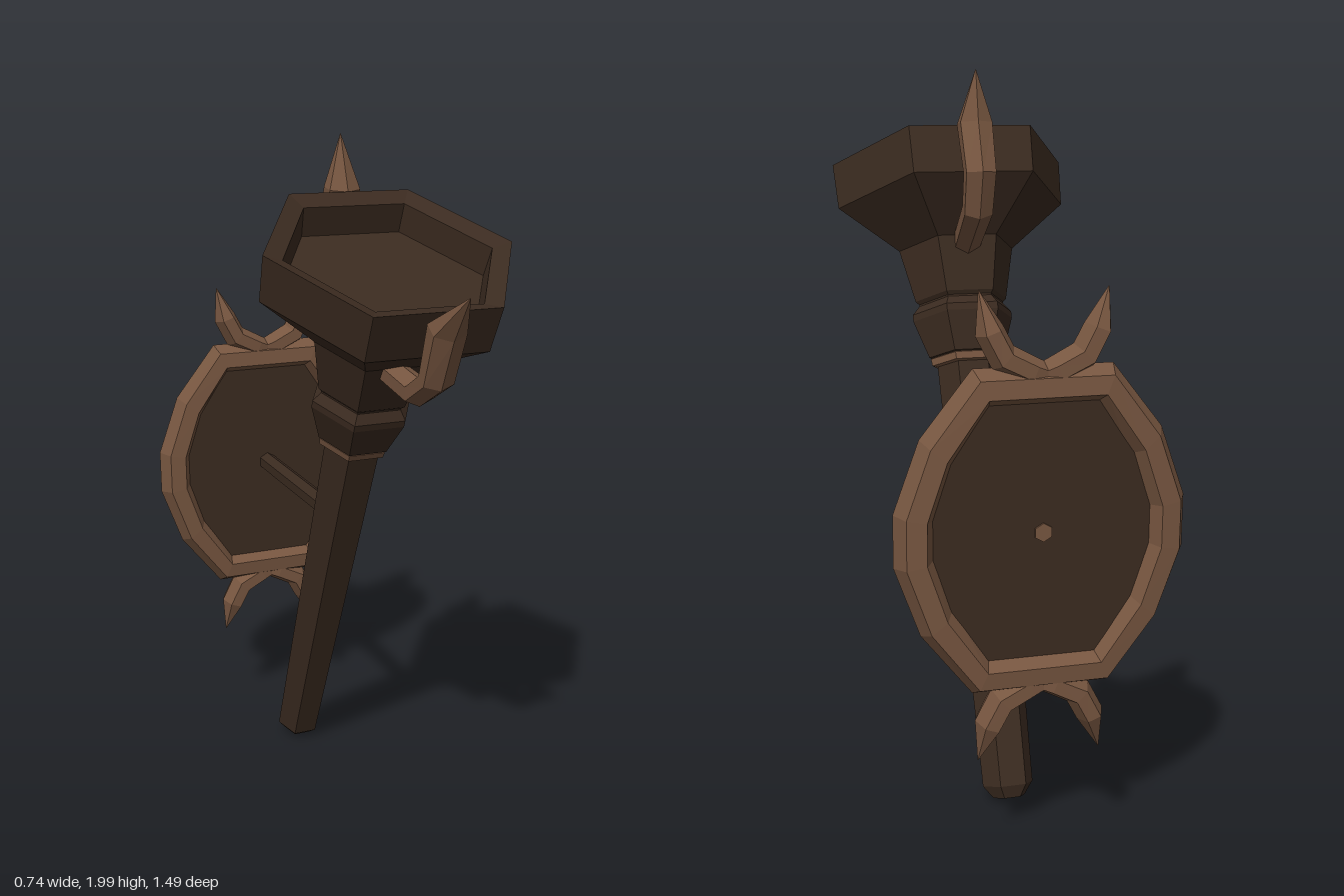
import * as THREE from 'three';

const darkWood = new THREE.MeshStandardMaterial({ color: 0x3b2b20 });
const bronze = new THREE.MeshStandardMaterial({ color: 0x775640 });

// Faceted mesh: every face keeps its own normal
function part(name, geometry, material) {
  const g = geometry.index ? geometry.toNonIndexed() : geometry;
  g.computeVertexNormals();
  const mesh = new THREE.Mesh(g, material);
  mesh.name = name;
  return mesh;
}

// Skin a list of equal-length cross-sections, counter-clockwise about the path
function loft(rings, closed = false) {
  const pos = [];
  const n = rings[0].length;
  const last = closed ? rings.length : rings.length - 1;
  for (let i = 0; i < last; i++) {
    const r0 = rings[i], r1 = rings[(i + 1) % rings.length];
    for (let j = 0; j < n; j++) {
      const k = (j + 1) % n;
      for (const p of [r0[j], r0[k], r1[k], r0[j], r1[k], r1[j]]) pos.push(...p);
    }
  }
  const g = new THREE.BufferGeometry();
  g.setAttribute('position', new THREE.Float32BufferAttribute(pos, 3));
  return g;
}

// Curved horn in the XY plane; points are [x, y, half width, half depth]
function horn(points) {
  const rings = points.map(([x, y, w, d], i) => {
    const a = points[Math.max(i - 1, 0)], b = points[Math.min(i + 1, points.length - 1)];
    const len = Math.hypot(b[0] - a[0], b[1] - a[1]);
    const nx = -(b[1] - a[1]) / len, ny = (b[0] - a[0]) / len;
    return Array.from({ length: 6 }, (_, j) => {
      const t = j * Math.PI / 3;
      const c = Math.cos(t) * w, s = Math.sin(t) / 0.866 * d;
      return [x + nx * c, y + ny * c, s];
    });
  });
  return loft(rings);
}

// Six-sided turned piece with corners on the x axis
function hexLathe(profile) {
  return new THREE.LatheGeometry(profile.map(([r, y]) => new THREE.Vector2(r, y)), 6, Math.PI / 2);
}

export function createModel() {
  const model = new THREE.Group();
  model.name = 'wallTorch';

  // Tilted torch, built along its own y axis
  const torch = new THREE.Group();
  torch.name = 'torch';
  torch.position.set(0, 0.02, -0.42);
  torch.rotation.x = 0.404;
  model.add(torch);

  torch.add(part('shaft', hexLathe([[0, 0], [0.045, 0], [0.072, 0.035], [0.09, 1.26]]), darkWood));
  torch.add(part('neckRing', hexLathe([[0.085, 1.235], [0.105, 1.24], [0.108, 1.26], [0.09, 1.27]]), bronze));
  torch.add(part('collar', hexLathe([
    [0.08, 1.255], [0.112, 1.265], [0.15, 1.375], [0.15, 1.395], [0.128, 1.42], [0.128, 1.43]]), darkWood));
  torch.add(part('bowl', hexLathe([
    [0.128, 1.425], [0.138, 1.435], [0.173, 1.59], [0.343, 1.726], [0.35, 1.86],
    [0.295, 1.843], [0.288, 1.76], [0, 1.76]]), darkWood));

  // Horns hugging the front and back of the bowl
  for (const side of [1, -1]) {
    const h = part(side > 0 ? 'frontHorn' : 'backHorn', horn([
      [0.11, 1.565, 0.035, 0.036], [0.292, 1.615, 0.036, 0.04], [0.358, 1.7, 0.036, 0.042],
      [0.353, 1.845, 0.044, 0.045], [0.42, 1.972, 0.001, 0.001]]), bronze);
    h.rotation.y = -side * Math.PI / 2;
    torch.add(h);
  }

  // Wall mount, centred on its own origin
  const mount = new THREE.Group();
  mount.name = 'wallMount';
  mount.position.set(0, 0.893, -0.695);
  model.add(mount);

  const corner = [[0.37, 0.067], [0.305, 0.247], [0.175, 0.412]];
  const flip = (sx, sy, list) => list.map(([x, y]) => [x * sx, y * sy]);
  const rev = [...corner].reverse();
  const outline = [...corner, ...flip(-1, 1, rev), ...flip(-1, -1, corner), ...flip(1, -1, rev)];
  const inset = ([x, y], d) => {
    const k = 1 - d / Math.hypot(x, y);
    return [x * k, y * k];
  };

  // Bevelled frame
  const section = [[0.105, 0], [0.075, 0.05], [0.025, 0.045], [0, 0], [0.025, -0.045], [0.075, -0.05]];
  mount.add(part('frame', loft(outline.map(p => section.map(([d, z]) => [...inset(p, d), z])), true), bronze));

  // Back panel inside the frame
  const panel = new THREE.Shape(outline.map(p => new THREE.Vector2(...inset(p, 0.09))));
  const panelGeo = new THREE.ExtrudeGeometry(panel, { depth: 0.03, bevelEnabled: false });
  panelGeo.translate(0, 0, -0.015);
  mount.add(part('panel', panelGeo, darkWood));

  // Pairs of spikes at the top and bottom of the frame
  for (const turn of [0, Math.PI]) {
    for (const side of [0, Math.PI]) {
      const s = part('spike', horn([
        [-0.05, 0.375, 0.02, 0.03], [0.03, 0.4, 0.035, 0.044], [0.1, 0.435, 0.038, 0.046],
        [0.134, 0.5, 0.036, 0.044], [0.16, 0.597, 0.001, 0.001]]), bronze);
      const holder = new THREE.Group();
      holder.name = 'spikeHolder';
      s.rotation.y = side;
      holder.rotation.z = turn;
      holder.add(s);
      mount.add(holder);
    }
  }

  // Arm joining shaft and panel, with its end peg
  const arm = part('arm', new THREE.CylinderGeometry(0.03, 0.03, 0.62, 6), darkWood);
  arm.rotation.x = Math.PI / 2;
  arm.position.set(0, 0, 0.31);
  mount.add(arm);
  const peg = part('peg', new THREE.CylinderGeometry(0.024, 0.024, 0.04, 6), bronze);
  peg.rotation.x = Math.PI / 2;
  mount.add(peg);

  return model;
}
